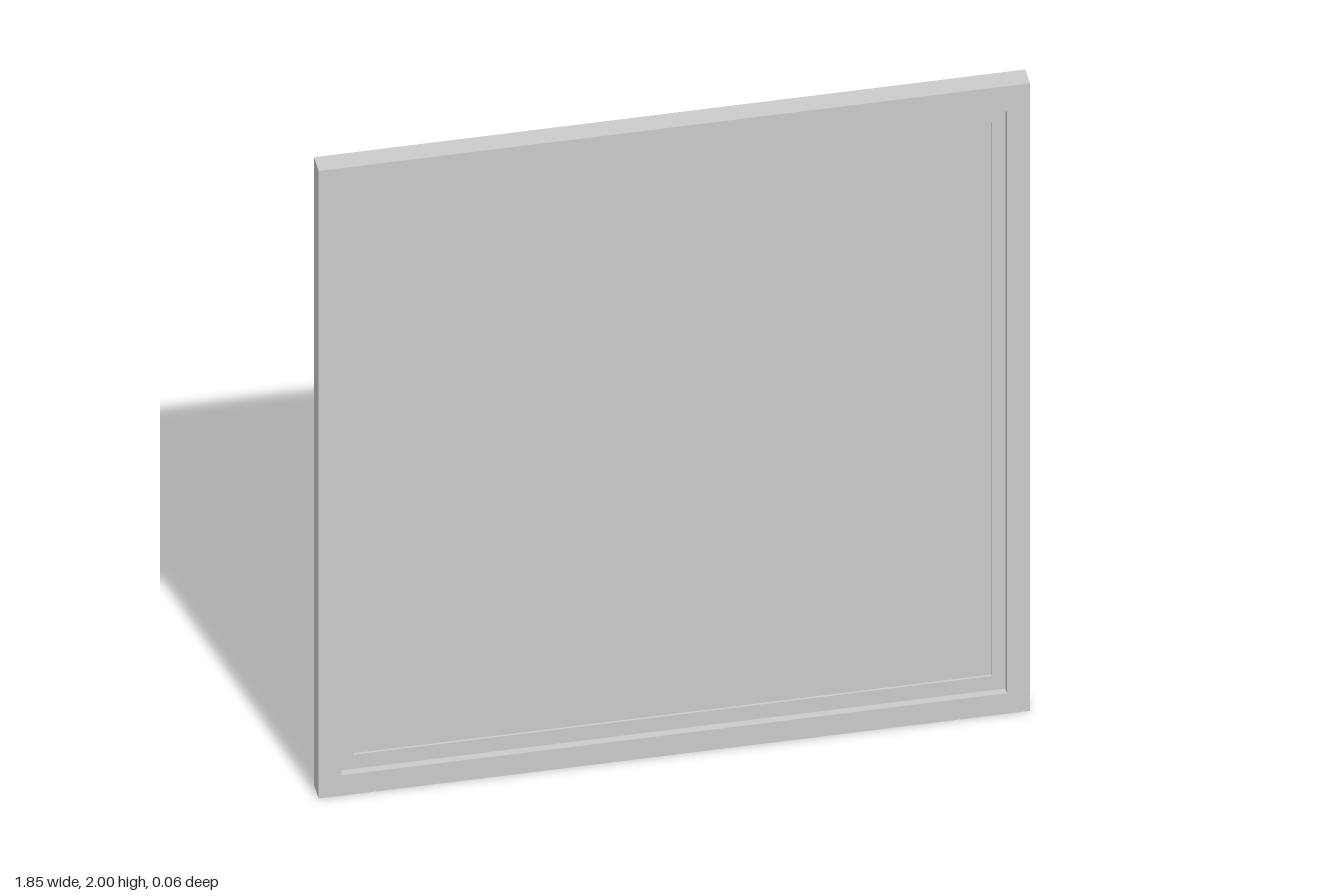
import * as THREE from 'three';

const material = new THREE.MeshStandardMaterial({ color: 0xcccccc });

// Rectangular outline from left/right half width and bottom/top heights
function outline(Type, half, bottom, top) {
  const path = new Type();
  path.moveTo(-half, bottom);
  path.lineTo(half, bottom);
  path.lineTo(half, top);
  path.lineTo(-half, top);
  path.closePath();
  return path;
}

// Extruded rectangular ring, centred on z = 0
function ring(name, outer, inner, depth) {
  const shape = outline(THREE.Shape, ...outer);
  shape.holes.push(outline(THREE.Path, ...inner));
  const geometry = new THREE.ExtrudeGeometry(shape, { depth, bevelEnabled: false });
  geometry.translate(0, 0, -depth / 2);
  const mesh = new THREE.Mesh(geometry, material);
  mesh.name = name;
  return mesh;
}

export function createModel() {
  const model = new THREE.Group();
  model.name = 'window';

  const frameOuter = [0.925, 0, 2];
  const frameInner = [0.865, 0.065, 1.92];
  const sashInner = [0.83, 0.11, 1.875];

  // Deep outer frame with a thinner sash recessed equally on both sides
  model.add(ring('outerFrame', frameOuter, frameInner, 0.06));
  model.add(ring('sash', frameInner, sashInner, 0.018));

  // Thin pane held in the middle of the sash
  const [half, bottom, top] = sashInner;
  const pane = new THREE.Mesh(new THREE.BoxGeometry(half * 2, top - bottom, 0.006), material);
  pane.position.y = (bottom + top) / 2;
  pane.name = 'glassPane';
  model.add(pane);

  return model;
}
